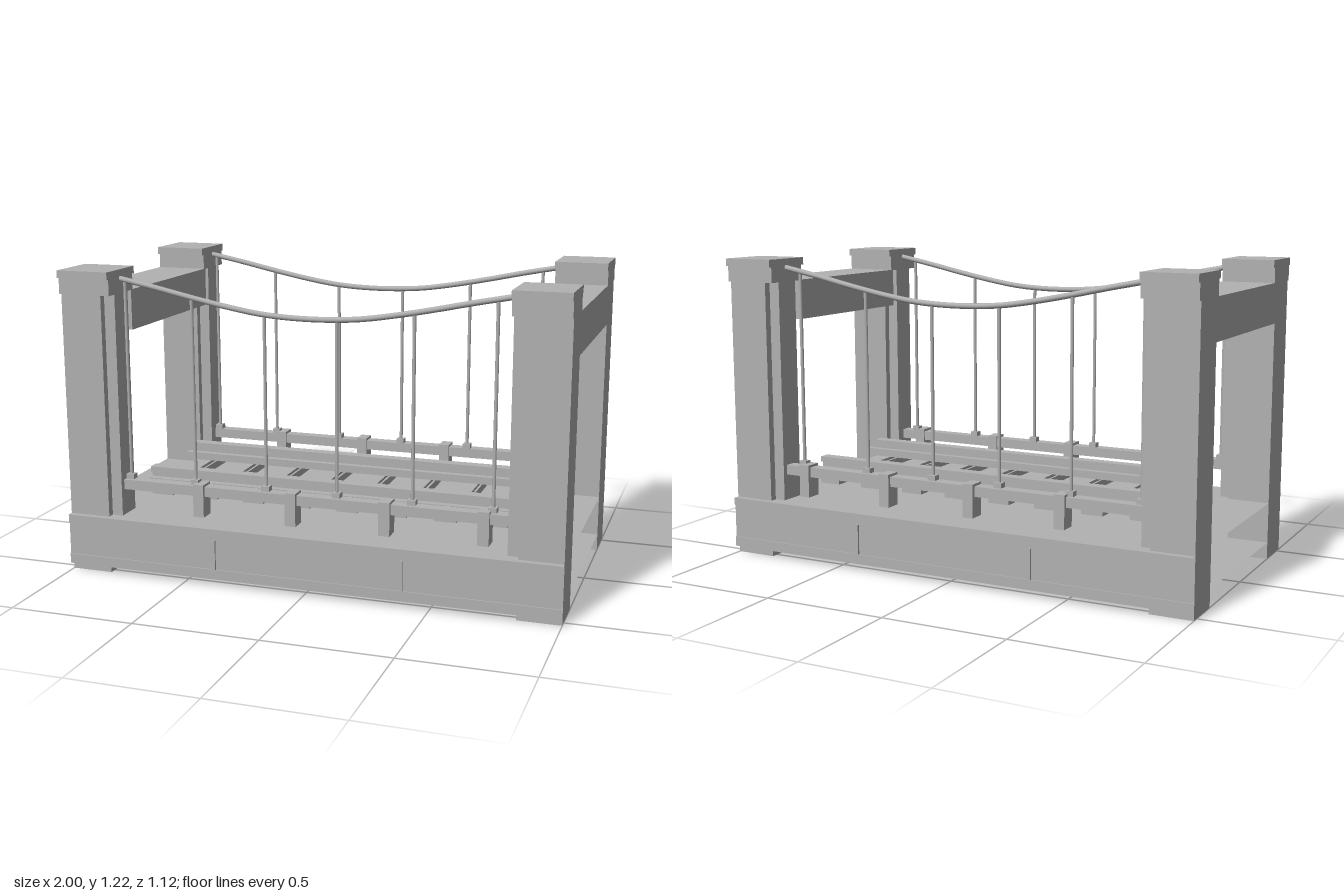
import * as THREE from 'three';

const stone = new THREE.MeshStandardMaterial({ color: 0xb2b2b2 });
stone.name = 'plain grey';

export function createModel() {
  const model = new THREE.Group();
  model.name = 'suspensionBridge';

  function add(name, geometry) {
    const mesh = new THREE.Mesh(geometry, stone);
    mesh.name = name;
    model.add(mesh);
    return mesh;
  }

  // box given by its min and max on each axis; open boxes have no end faces along x
  function box(name, x0, x1, y0, y1, z0, z1, open = false) {
    const g = new THREE.BoxGeometry(x1 - x0, y1 - y0, z1 - z0);
    if (open) {
      g.setIndex(Array.from(g.index.array).slice(12));
      g.clearGroups();
    }
    g.translate((x0 + x1) / 2, (y0 + y1) / 2, (z0 + z1) / 2);
    return add(name, g);
  }

  // same box on the front and back side
  function pair(name, x0, x1, y0, y1, z0, z1, open = false) {
    box(name, x0, x1, y0, y1, z0, z1, open);
    box(name, x0, x1, y0, y1, -z1, -z0, open);
  }

  // base: two open-ended slabs with recessed side walls between
  box('baseTopSlab', -1, 1, 0.203, 0.235, -0.555, 0.555, true);
  box('baseBottomSlab', -1, 1, 0.03, 0.07, -0.555, 0.555, true);
  for (const s of [1, -1]) {
    const wall = add('baseWall', new THREE.PlaneGeometry(2, 0.133));
    wall.position.set(0, 0.1365, s * 0.55);
    if (s < 0) wall.rotation.y = Math.PI;
  }
  for (const x of [-0.365, 0.395]) {
    pair('baseSeam', x - 0.005, x + 0.005, 0.07, 0.19, 0.55, 0.558);
  }

  // towers with stepped caps, pilasters and a crossbeam
  for (const s of [1, -1]) {
    const span = (a, b) => (s > 0 ? [a, b] : [-b, -a]);
    const full = span(0.785, 1);
    pair('towerLeg', ...span(0.83, 1), 0, 1.13, 0.36, 0.53);
    pair('towerPilaster', ...span(0.785, 0.83), 0.235, 1.13, 0.39, 0.5);
    pair('capLower', ...full, 1.13, 1.193, 0.345, 0.545);
    pair('capUpper', ...full, 1.193, 1.223, 0.33, 0.558);
    box('crossbeam', ...full, 0.97, 1.132, -0.36, 0.36);
  }

  // sleepers with a top plank, rail seats and bolts
  for (let i = 0; i < 8; i++) {
    const x = -0.703 + i * 0.2;
    box('sleeper', x - 0.045, x + 0.045, 0.275, 0.305, -0.3, 0.3);
    box('sleeperPlank', x - 0.036, x + 0.036, 0.305, 0.316, -0.325, 0.325);
    pair('railSeat', x - 0.03, x + 0.03, 0.316, 0.32, 0.158, 0.27);
    for (const z of [0.163, 0.263]) {
      pair('bolt', x - 0.01, x + 0.01, 0.32, 0.327, z - 0.007, z + 0.007);
    }
  }

  // running rails and inner guard rails
  const L = 0.785;
  pair('railFoot', -L, L, 0.317, 0.328, 0.174, 0.254, true);
  pair('railWeb', -L, L, 0.328, 0.35, 0.204, 0.224, true);
  pair('railHead', -L, L, 0.35, 0.372, 0.19, 0.238, true);
  pair('innerGuardRail', -L, L, 0.317, 0.348, 0.115, 0.142, true);

  // side girders with posts
  pair('sideGirder', -L, L, 0.34, 0.38, 0.43, 0.478, true);
  for (const x of [-0.455, -0.07, 0.308, 0.69]) {
    pair('girderPost', x - 0.022, x + 0.022, 0.258, 0.39, 0.425, 0.492);
  }

  // main cables and hangers
  const profile = [[-0.79, 1.187], [-0.64, 1.158], [-0.485, 1.125], [-0.33, 1.095],
    [-0.18, 1.073], [0, 1.065], [0.18, 1.073], [0.33, 1.095], [0.485, 1.125],
    [0.64, 1.158], [0.79, 1.187]];
  for (const s of [1, -1]) {
    const z = s * 0.447;
    const curve = new THREE.CatmullRomCurve3(profile.map(([x, y]) => new THREE.Vector3(x, y, z)));
    add('mainCable', new THREE.TubeGeometry(curve, 40, 0.011, 8));
    for (const x of [-0.765, -0.483, -0.183, 0.107, 0.407, 0.717]) {
      const top = curve.getPoint((x + 0.79) / 1.58).y;
      const rod = add('hanger', new THREE.CylinderGeometry(0.007, 0.007, top - 0.38, 8));
      rod.position.set(x, (top + 0.38) / 2, z);
      box('hangerFoot', x - 0.016, x + 0.016, 0.38, 0.4, z - 0.016, z + 0.016);
    }
  }

  return model;
}
